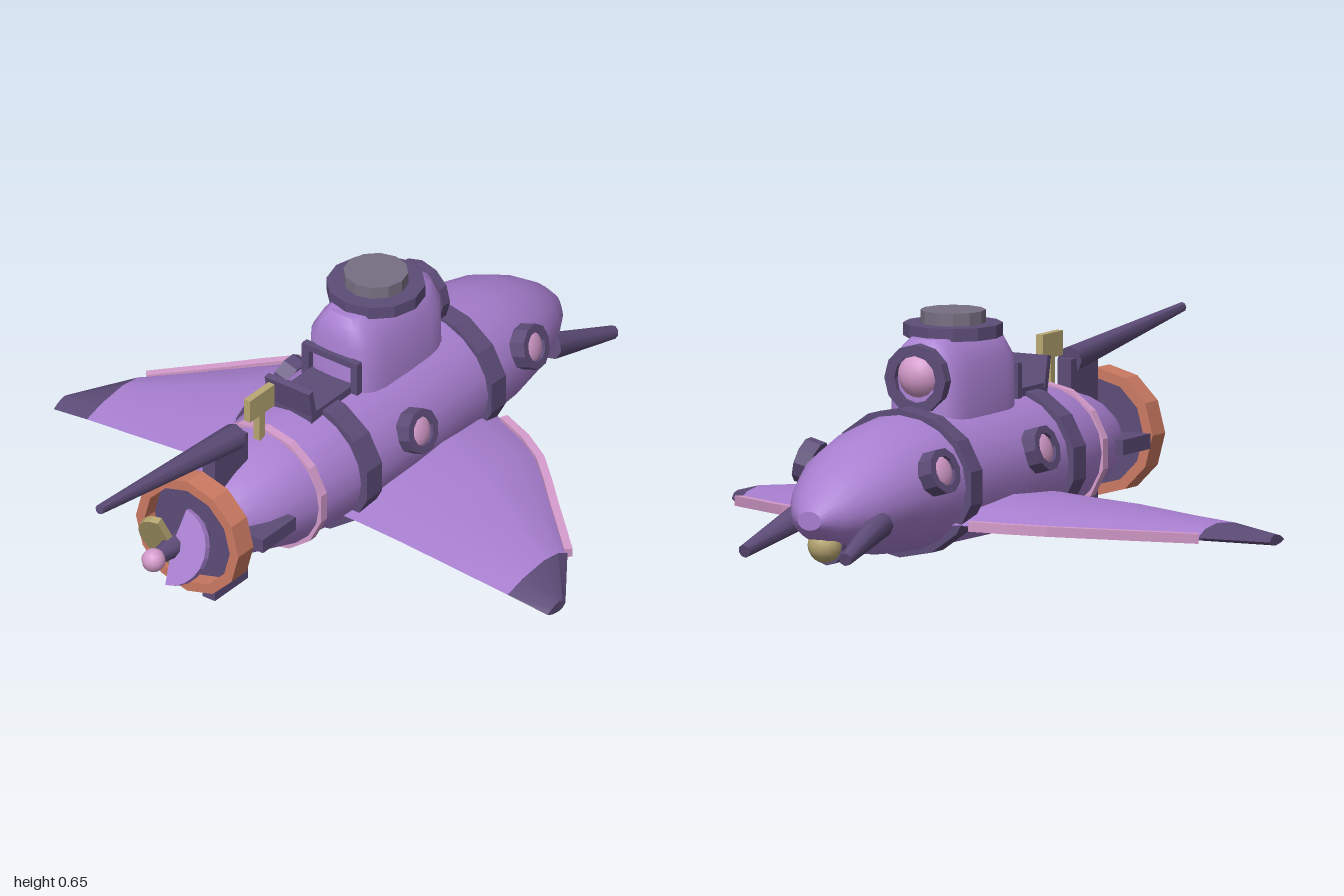
import * as THREE from 'three';
import { toCreasedNormals } from 'three/addons/utils/BufferGeometryUtils.js';

const mat = (name, color, side = THREE.FrontSide) => {
  const m = new THREE.MeshStandardMaterial({ color, side });
  m.name = name;
  return m;
};
const V = (x, y, z) => new THREE.Vector3(x, y, z);

// Skin over closed rings; points run counter-clockwise seen from the first ring's side.
function loft(rings, crease = 0.6) {
  const n = rings[0].length, pos = rings.flat().flatMap(p => p.toArray()), idx = [];
  for (let i = 0; i < rings.length - 1; i++) for (let j = 0; j < n; j++) {
    const a = i * n + j, b = i * n + (j + 1) % n, c = b + n, d = a + n;
    idx.push(a, c, b, a, d, c);
  }
  const e = (rings.length - 1) * n;
  for (let j = 1; j < n - 1; j++) idx.push(0, j, j + 1, e, e + j + 1, e + j);
  const g = new THREE.BufferGeometry();
  g.setAttribute('position', new THREE.Float32BufferAttribute(pos, 3));
  g.setIndex(idx);
  return toCreasedNormals(g, crease);
}

// Faceted ring with a square section, axis along z.
function ringGeo(outer, inner, depth, sides = 12) {
  const h = depth / 2;
  const pts = [[outer, -h], [outer, h], [inner, h], [inner, -h], [outer, -h]];
  const g = new THREE.LatheGeometry(pts.map(p => new THREE.Vector2(...p)), sides);
  return toCreasedNormals(g.rotateX(Math.PI / 2), 0.3);
}

export function createModel() {
  const root = new THREE.Group();
  root.name = 'mantaSubmarine';
  const purple = mat('hullPurple', 0xa87fd0), dark = mat('darkPurple', 0x5d4c78);
  const pink = mat('pink', 0xd49bcb), coral = mat('coral', 0xcb7a62);
  const khaki = mat('khaki', 0xb9a873), grey = mat('hatchGrey', 0x776f82);

  const add = (name, geo, m, p = [0, 0, 0], parent = root) => {
    const mesh = new THREE.Mesh(geo, m);
    mesh.name = name;
    mesh.position.set(...p);
    parent.add(mesh);
    return mesh;
  };
  const box = (name, size, p, m, parent) => add(name, new THREE.BoxGeometry(...size), m, p, parent);
  // Tapered bar between two points
  const bar = (name, a, b, ra, rb, sides, m, parent) => {
    const g = toCreasedNormals(new THREE.CylinderGeometry(rb, ra, a.distanceTo(b), sides), 0.9);
    const mesh = add(name, g, m, a.clone().lerp(b, 0.5).toArray(), parent);
    mesh.quaternion.setFromUnitVectors(V(0, 1, 0), b.clone().sub(a).normalize());
    return mesh;
  };

  // Hull: z, centre y, half width, half height
  const hull = [
    [0.56, 0.235, 0.07, 0.058], [0.52, 0.235, 0.1, 0.085], [0.45, 0.232, 0.14, 0.122],
    [0.3, 0.23, 0.18, 0.166], [0.1, 0.228, 0.2, 0.182], [-0.15, 0.23, 0.205, 0.183],
    [-0.42, 0.23, 0.203, 0.181], [-0.58, 0.224, 0.19, 0.168], [-0.7, 0.217, 0.167, 0.143],
    [-0.8, 0.204, 0.127, 0.106], [-0.87, 0.193, 0.083, 0.068], [-0.92, 0.185, 0.035, 0.025],
  ];
  add('hull', loft(hull.map(([z, y, rx, ry]) => Array.from({ length: 20 }, (_, i) => {
    const t = i / 20 * Math.PI * 2;
    return V(rx * Math.cos(t), y + ry * Math.sin(t), z);
  }))), purple);

  // Bands around the hull
  for (const [name, z, rx, ry, d, m] of [
    ['rearBand', 0.105, 0.22, 0.195, 0.065, dark],
    ['frontBand', -0.425, 0.22, 0.195, 0.06, dark],
    ['thinBand', 0.285, 0.192, 0.178, 0.025, pink],
  ]) add(name, ringGeo(1, 0.85, d, 14), m, [0, 0.228, z]).scale.set(rx, ry, 1);

  // Tower: y, half width, half length
  const tower = [[0.59, 0.062, 0.15], [0.57, 0.08, 0.172], [0.52, 0.11, 0.184], [0.36, 0.11, 0.19]];
  const soft = v => Math.sign(v) * Math.sqrt(Math.abs(v));
  add('tower', loft(tower.map(([y, rx, rz]) => Array.from({ length: 24 }, (_, i) => {
    const t = i / 24 * Math.PI * 2;
    return V(rx * soft(Math.cos(t)), y, -0.18 - rz * soft(Math.sin(t)));
  })), 0.7), purple);
  const disc = (name, r, h, p, m) => add(name, toCreasedNormals(new THREE.CylinderGeometry(r, r, h, 12), 0.3), m, p);
  disc('hatchRim', 0.13, 0.034, [0, 0.6, -0.18], dark);
  disc('hatchLid', 0.085, 0.034, [0, 0.634, -0.18], grey);
  add('towerWindowRim', ringGeo(0.092, 0.062, 0.03, 12), dark, [0, 0.49, -0.362]);
  add('towerWindow', new THREE.SphereGeometry(0.066, 16, 12), pink, [0, 0.5, -0.335]);

  // Step and backrest at the tower's open end
  box('seat', [0.14, 0.03, 0.19], [0, 0.405, 0.09], dark);
  box('backrest', [0.145, 0.085, 0.018], [0, 0.448, 0.183], dark).rotation.x = 0.2;
  for (const s of [-1, 1]) box('doorPost', [0.022, 0.09, 0.02], [s * 0.08, 0.445, 0.008], dark);
  box('doorLintel', [0.18, 0.018, 0.02], [0, 0.485, 0.008], dark);

  // Small sign on a post
  box('signPlate', [0.02, 0.065, 0.105], [0, 0.497, 0.317], khaki);
  box('signPost', [0.02, 0.1, 0.022], [0, 0.425, 0.317], khaki);

  // Cross fins and long tail spike
  box('verticalFin', [0.04, 0.45, 0.14], [0, 0.225, 0.462], dark);
  box('horizontalFin', [0.355, 0.04, 0.14], [0, 0.23, 0.462], dark);
  bar('tailSpike', V(0, 0.445, 0.42), V(0, 0.513, 0.998), 0.036, 0.013, 8, dark);

  // Ducted propeller
  add('duct', ringGeo(0.168, 0.14, 0.065, 12), coral, [0, 0.24, 0.592]);
  add('ductPlate', new THREE.CylinderGeometry(0.145, 0.145, 0.012, 12).rotateX(Math.PI / 2), dark, [0, 0.24, 0.574]);
  bar('shaft', V(0, 0.24, 0.56), V(0, 0.24, 0.76), 0.045, 0.02, 8, dark);
  add('hub', new THREE.SphereGeometry(0.032, 12, 8), pink, [0, 0.24, 0.768]);
  for (const [name, turn, m] of [['purpleBlade', 0, purple], ['khakiBlade', Math.PI, khaki]]) {
    const half = new THREE.Shape();
    half.absarc(0, 0, 0.105, -1.45, 1.45, false);
    half.lineTo(0, 0);
    const g = new THREE.ExtrudeGeometry(half, { depth: 0.02, bevelEnabled: false, curveSegments: 5 });
    g.translate(0, 0, -0.01).rotateX(-0.45).rotateZ(turn);
    add(name, g, m, [0, 0.24, 0.68]);
  }

  // Sensor under the nose
  add('sensorMount', new THREE.CylinderGeometry(0.05, 0.05, 0.05, 10).rotateX(Math.PI / 2), dark, [0, 0.108, -0.805]);
  add('sensor', new THREE.SphereGeometry(0.046, 14, 10), khaki, [0, 0.112, -0.838]);

  // Wing sections: x, leading z, trailing z, centre y, thickness
  const wing = [
    [0.13, -0.48, 0.167, 0.142, 0.088], [0.21, -0.45, 0.166, 0.14, 0.084], [0.36, -0.39, 0.165, 0.13, 0.066],
    [0.54, -0.235, 0.16, 0.111, 0.054], [0.69, -0.1, 0.155, 0.095, 0.045], [0.81, 0.065, 0.14, 0.07, 0.03],
  ];
  const shape = [[1, -0.1], [0.75, 0.28], [0.4, 0.5], [0.15, 0.32], [0, -0.12], [0.15, -0.38], [0.4, -0.5], [0.75, -0.36]];
  const section = ([x, zl, zt, y, t]) => shape.map(([u, v]) => V(x, y + v * t, zl + u * (zt - zl)));

  // Everything that comes in a mirrored pair
  for (const s of [1, -1]) {
    const side = new THREE.Group();
    side.name = s > 0 ? 'leftSide' : 'rightSide';
    side.scale.x = s;
    root.add(side);
    add('wing', loft(wing.slice(0, 5).map(section), 0.5), purple, [0, 0, 0], side);
    add('wingTip', loft(wing.slice(4).map(section), 0.5), dark, [0, 0, 0], side);

    // Segmented strip along the leading edge
    const edge = new THREE.CatmullRomCurve3(wing.slice(1, 5).map(([x, zl, , y, t]) => V(x, y - 0.12 * t, zl - 0.003)));
    const pts = edge.getSpacedPoints(6);
    for (let i = 0; i < 6; i++) {
      const strip = box('edgeStrip', [0.022, 0.026, pts[i].distanceTo(pts[i + 1]) + 0.004],
        pts[i].clone().lerp(pts[i + 1], 0.5).toArray(), pink, side);
      const d = pts[i + 1].clone().sub(pts[i]).normalize();
      strip.quaternion.setFromUnitVectors(V(0, 0, 1), d);
      strip.quaternion.setFromRotationMatrix(new THREE.Matrix4().lookAt(d, V(0, 0, 0), V(0, 1, 0)));
    }

    // Portholes
    for (const [x, z, yaw] of [[0.208, -0.085, 0], [0.194, -0.583, 0.13]]) {
      const port = new THREE.Group();
      port.name = 'porthole';
      port.position.set(x, 0.286, z);
      port.quaternion.setFromUnitVectors(V(0, 0, 1), V(1, 0.3, -yaw).normalize());
      side.add(port);
      add('portholeRim', ringGeo(0.061, 0.04, 0.045, 10), dark, [0, 0, 0], port);
      add('portholeGlass', new THREE.SphereGeometry(0.043, 12, 8), pink, [0, 0, 0.006], port).scale.z = 0.4;
    }

    // Nose horn
    bar('horn', V(0.125, 0.168, -0.765), V(0.152, 0.104, -0.995), 0.036, 0.018, 8, dark, side);
  }
  return root;
}
